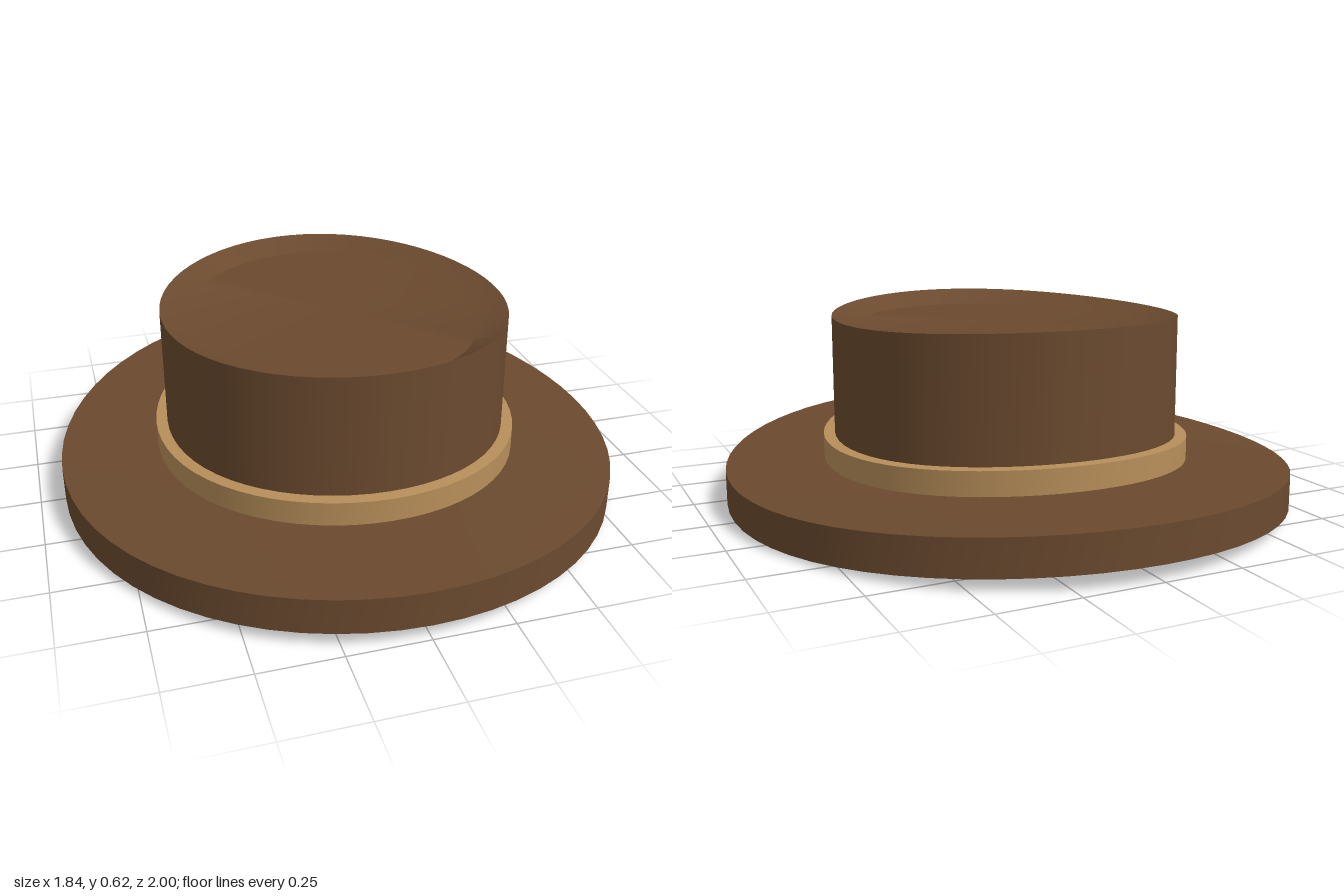
import * as THREE from 'three';
import { toCreasedNormals } from 'three/addons/utils/BufferGeometryUtils.js';

const SEGMENTS = 64;

// Skins elliptical rings listed from bottom to top.
// Each ring is [half width x, half depth z, height at x = 0, drop at the sides].
function ovalSolid(rings) {
  const positions = [];
  const indices = [];
  const row = SEGMENTS + 1;
  for (const [rx, rz, y, drop] of rings) {
    for (let j = 0; j <= SEGMENTS; j++) {
      const angle = (j % SEGMENTS) / SEGMENTS * Math.PI * 2;
      const s = Math.sin(angle);
      positions.push(rx * s, y - drop * s * s, rz * Math.cos(angle));
    }
  }
  for (let i = 0; i < rings.length - 1; i++) {
    for (let j = 0; j < SEGMENTS; j++) {
      const a = i * row + j, b = a + 1, d = a + row, c = d + 1;
      if (rings[i][0] > 0) indices.push(a, b, c);
      if (rings[i + 1][0] > 0) indices.push(a, c, d);
    }
  }
  const geometry = new THREE.BufferGeometry();
  geometry.setAttribute('position', new THREE.Float32BufferAttribute(positions, 3));
  geometry.setIndex(indices);
  return toCreasedNormals(geometry, Math.PI / 7);
}

export function createModel() {
  const felt = new THREE.MeshStandardMaterial({ color: 0x6b4a2f });
  felt.name = 'brown felt';
  const ribbon = new THREE.MeshStandardMaterial({ color: 0xb88f5a });
  ribbon.name = 'tan ribbon';

  const hat = new THREE.Group();
  hat.name = 'hat';
  const add = (name, material, rings) => {
    const mesh = new THREE.Mesh(ovalSolid(rings), material);
    mesh.name = name;
    hat.add(mesh);
  };

  // Thick oval brim, drooping at the left and right
  add('brim', felt, [
    [0, 0, 0.05, 0],
    [0.92, 1, 0.05, 0.05],
    [0.92, 1, 0.163, 0.05],
    [0, 0, 0.163, 0],
  ]);

  // Ribbon around the foot of the crown
  add('hatBand', ribbon, [
    [0, 0, 0.1, 0],
    [0.6, 0.65, 0.1, 0.03],
    [0.6, 0.65, 0.24, 0.033],
    [0, 0, 0.24, 0],
  ]);

  // Crown with a sloped rim around a sunken flat top
  add('crown', felt, [
    [0, 0, 0.1, 0],
    [0.563, 0.61, 0.1, 0.02],
    [0.563, 0.605, 0.625, 0.024],
    [0.463, 0.548, 0.573, 0],
    [0, 0, 0.573, 0],
  ]);

  return hat;
}
